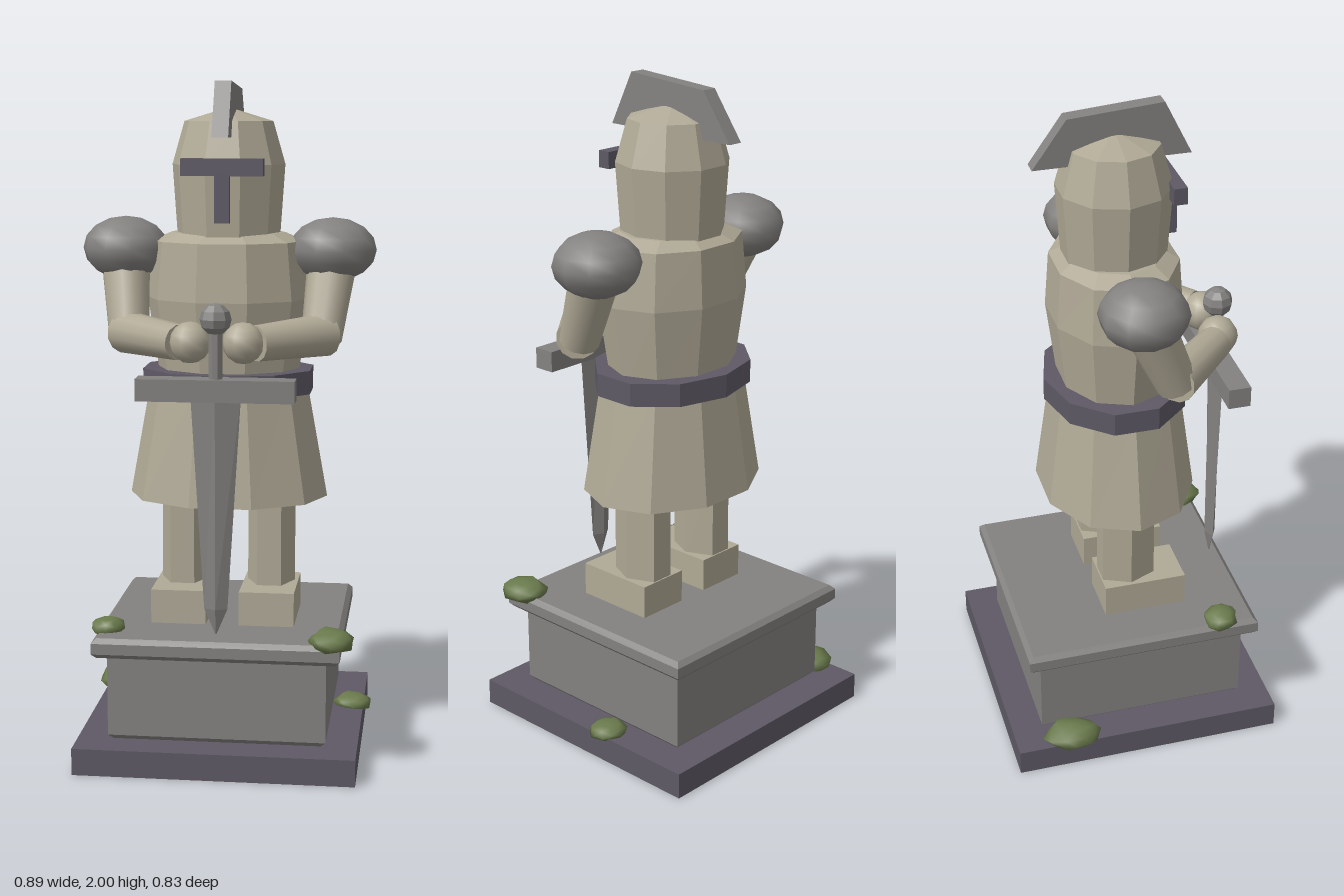
import * as THREE from 'three';
import { mergeVertices } from 'three/addons/utils/BufferGeometryUtils.js';

const material = (name, color) => {
  const m = new THREE.MeshStandardMaterial({ color });
  m.name = name;
  return m;
};

// Faceted solid through elliptical rings [y, radiusX, radiusZ], first corner on +x
function loft(rings, sides, turn = 0) {
  const pos = [];
  const at = ([y, rx, rz], j) => {
    const a = ((j + turn) / sides) * Math.PI * 2;
    return [rx * Math.cos(a), y, rz * Math.sin(a)];
  };
  const first = rings[0], last = rings[rings.length - 1];
  for (let j = 0; j < sides; j++) {
    for (let k = 0; k < rings.length - 1; k++) {
      const a = at(rings[k], j), b = at(rings[k], j + 1);
      const c = at(rings[k + 1], j + 1), d = at(rings[k + 1], j);
      pos.push(...a, ...d, ...b, ...b, ...d, ...c);
    }
    pos.push(0, first[0], 0, ...at(first, j), ...at(first, j + 1));
    pos.push(0, last[0], 0, ...at(last, j + 1), ...at(last, j));
  }
  const g = new THREE.BufferGeometry();
  g.setAttribute('position', new THREE.Float32BufferAttribute(pos, 3));
  g.computeVertexNormals();
  return g;
}

// Square slab with chamfered edges, y from y0 to y1
function slab(half, y0, y1, bevel) {
  const h = half - bevel;
  const s = new THREE.Shape([
    new THREE.Vector2(-h, -h), new THREE.Vector2(h, -h),
    new THREE.Vector2(h, h), new THREE.Vector2(-h, h),
  ]);
  const g = new THREE.ExtrudeGeometry(s, {
    depth: y1 - y0 - 2 * bevel, bevelEnabled: true, bevelSegments: 1,
    bevelSize: bevel, bevelThickness: bevel,
  });
  return g.rotateX(-Math.PI / 2).translate(0, y0 + bevel, 0);
}

// Smooth tapered limb between two points
function limb(from, to, r0, r1) {
  const a = new THREE.Vector3(...from), b = new THREE.Vector3(...to);
  const dir = b.clone().sub(a);
  const g = new THREE.CylinderGeometry(r1, r0, dir.length(), 12);
  g.applyQuaternion(new THREE.Quaternion().setFromUnitVectors(
    new THREE.Vector3(0, 1, 0), dir.normalize()));
  const mid = a.add(b).multiplyScalar(0.5);
  return g.translate(mid.x, mid.y, mid.z);
}

// Lumpy, smooth-shaded clump
function clump(seed) {
  let g = new THREE.IcosahedronGeometry(1, 1);
  g.deleteAttribute('uv');
  g.deleteAttribute('normal');
  g = mergeVertices(g, 1e-3);
  const p = g.attributes.position;
  for (let i = 0; i < p.count; i++) {
    const k = 0.96 + 0.1 * Math.sin(p.getX(i) * 4 + p.getY(i) * 5 + p.getZ(i) * 3 + seed * 2);
    p.setXYZ(i, p.getX(i) * k, p.getY(i) * k, p.getZ(i) * k);
  }
  g.computeVertexNormals();
  return g;
}

export function createModel() {
  const model = new THREE.Group();
  model.name = 'knightStatue';
  const pale = material('paleStone', 0xb0a996);
  const grey = material('greyStone', 0x848280);
  const dark = material('darkStone', 0x5e5965);
  const moss = material('moss', 0x6a7a4c);

  const add = (name, geometry, mat, x = 0, y = 0, z = 0) => {
    const mesh = new THREE.Mesh(geometry, mat);
    mesh.name = name;
    mesh.position.set(x, y, z);
    model.add(mesh);
    return mesh;
  };
  const box = (w, h, d) => new THREE.BoxGeometry(w, h, d);

  // Plinth
  add('base', box(0.828, 0.08, 0.828), dark, 0, 0.04, 0);
  add('plinthBlock', slab(0.322, 0.08, 0.35, 0.015), grey);
  add('plinthCap', slab(0.363, 0.338, 0.398, 0.014), grey);

  // Body
  add('skirt', loft([[0.765, 0.3, 0.238], [1.12, 0.236, 0.19]], 10), pale);
  add('torso', loft([
    [1.1, 0.205, 0.164], [1.365, 0.245, 0.198], [1.535, 0.228, 0.186], [1.56, 0.17, 0.14],
  ], 10), pale);
  add('belt', loft([[1.085, 0.263, 0.216], [1.155, 0.263, 0.216]], 10, 0.5), dark);

  // Helmet with visor and crest
  add('helmet', loft([
    [1.54, 0.153, 0.153], [1.76, 0.168, 0.168], [1.885, 0.132, 0.132], [1.925, 0.001, 0.001],
  ], 10), pale);
  add('visorBar', box(0.24, 0.05, 0.04), dark, 0, 1.755, 0.16);
  add('visorStem', box(0.044, 0.14, 0.03), dark, 0, 1.665, 0.166);
  const crestShape = new THREE.Shape([
    new THREE.Vector2(-0.22, 1.84), new THREE.Vector2(0.24, 1.84),
    new THREE.Vector2(0.14, 1.98), new THREE.Vector2(-0.14, 2.0),
  ]);
  const crest = new THREE.ExtrudeGeometry(crestShape, { depth: 0.048, bevelEnabled: false });
  add('crest', crest.translate(0, 0, -0.024).rotateY(Math.PI / 2), grey);

  // Limbs, mirrored
  for (const [side, s] of [['left', 1], ['right', -1]]) {
    add(side + 'Foot', box(0.165, 0.104, 0.255), pale, s * 0.132, 0.448, 0.042);
    add(side + 'Leg', loft([[0.48, 0.072, 0.094], [0.8, 0.072, 0.094]], 6), pale, s * 0.132);
    const shoulder = new THREE.SphereGeometry(0.13, 10, 8).scale(1, 0.73, 1);
    add(side + 'Shoulder', shoulder, grey, s * 0.31, 1.51, 0);
    add(side + 'UpperArm',
      limb([s * 0.312, 1.5, 0], [s * 0.285, 1.255, 0.105], 0.075, 0.06), pale);
    add(side + 'Forearm',
      limb([s * 0.3, 1.268, 0.095], [s * 0.11, 1.262, 0.278], 0.063, 0.052), pale);
    add(side + 'Hand', new THREE.SphereGeometry(0.06, 10, 8), pale, s * 0.076, 1.265, 0.297);
  }

  // Sword, point down
  const swordZ = 0.32;
  add('blade', loft([
    [0.415, 0.002, 0.002], [0.49, 0.034, 0.017], [1.12, 0.073, 0.02],
  ], 4), grey, 0, 0, swordZ);
  add('guard', box(0.456, 0.064, 0.068), grey, 0, 1.133, swordZ);
  add('grip', loft([[1.15, 0.02, 0.02], [1.31, 0.02, 0.02]], 8, 0.5), grey, 0, 0, swordZ);
  const pommel = new THREE.SphereGeometry(0.046, 8, 6).toNonIndexed();
  pommel.computeVertexNormals();
  add('pommel', pommel, grey, 0, 1.335, swordZ);

  // Moss clumps: position, then radii
  [
    [0.338, 0.405, 0.318, 0.068, 0.036, 0.078],
    [-0.33, 0.405, 0.25, 0.053, 0.032, 0.055],
    [-0.38, 0.09, -0.24, 0.068, 0.042, 0.09],
    [0.382, 0.088, -0.09, 0.06, 0.028, 0.058],
  ].forEach(([x, y, z, rx, ry, rz], i) => {
    add('moss' + (i + 1), clump(i), moss, x, y, z).scale.set(rx, ry, rz);
  });

  return model;
}
